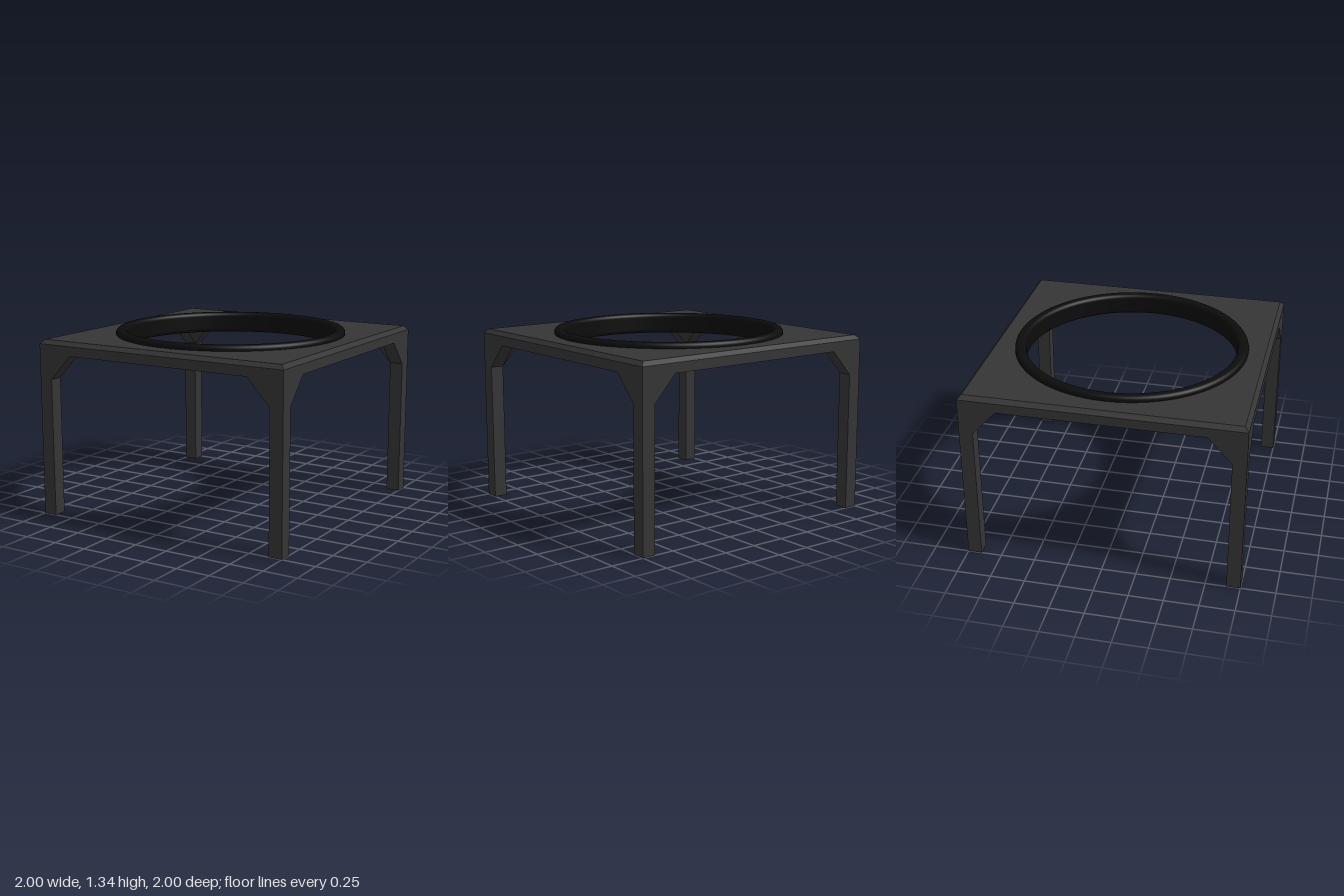
import * as THREE from 'three';
import { ConvexGeometry } from 'three/addons/geometries/ConvexGeometry.js';

const frameMat = new THREE.MeshStandardMaterial({ name: 'charcoal', color: 0x353535 });
const ringMat = new THREE.MeshStandardMaterial({ name: 'black', color: 0x0c0c0c });

const LEG = 0.1;            // leg thickness
const UNDER = 1.2, EDGE = 1.27, TOP = 1.3; // heights of the table top
const BRACE = 1.015;        // where the corner braces start
const HOLE = 0.81;

function add(parent, name, geometry, material) {
  const mesh = new THREE.Mesh(geometry, material);
  mesh.name = name;
  parent.add(mesh);
  return mesh;
}

// Four side walls of a square band, flat shaded
function squareBand(bottomHalf, topHalf, y0, y1) {
  const g = new THREE.CylinderGeometry(topHalf * Math.SQRT2, bottomHalf * Math.SQRT2, y1 - y0, 4, 1, true)
    .rotateY(Math.PI / 4).translate(0, (y0 + y1) / 2, 0).toNonIndexed();
  g.computeVertexNormals();
  return g;
}

// Horizontal square with a round hole, facing up or down
function holedSquare(half, y, up) {
  const s = new THREE.Shape();
  s.moveTo(-half, -half).lineTo(half, -half).lineTo(half, half).lineTo(-half, half).closePath();
  s.holes.push(new THREE.Path().absarc(0, 0, HOLE, 0, Math.PI * 2, true));
  return new THREE.ShapeGeometry(s, 48).rotateX(up ? -Math.PI / 2 : Math.PI / 2).translate(0, y, 0);
}

export function createModel() {
  const model = new THREE.Group();
  model.name = 'tableFrame';

  // Table top with a chamfered upper edge
  const top = new THREE.Group();
  top.name = 'tableTop';
  add(top, 'topEdge', squareBand(1, 1, UNDER, EDGE), frameMat);
  add(top, 'topChamfer', squareBand(1, 0.97, EDGE, TOP), frameMat);
  add(top, 'topSurface', holedSquare(0.97, TOP, true), frameMat);
  add(top, 'topUnderside', holedSquare(1, UNDER, false), frameMat);
  model.add(top);

  // Round collar lining the hole, with rounded rims
  const s = new THREE.Shape();
  const [r0, r1, y0, y1, c] = [0.77, 0.85, 1.183, 1.34, 0.03];
  s.moveTo(r0 + c, y0).lineTo(r1 - c, y0);
  s.absarc(r1 - c, y0 + c, c, -Math.PI / 2, 0);
  s.absarc(r1 - c, y1 - c, c, 0, Math.PI / 2);
  s.absarc(r0 + c, y1 - c, c, Math.PI / 2, Math.PI);
  s.absarc(r0 + c, y0 + c, c, Math.PI, Math.PI * 1.5);
  add(model, 'collarRing', new THREE.LatheGeometry(s.getPoints(5), 72), ringMat);

  // Legs with flared corner braces
  const inner = 1 - LEG, reach = 0.73;
  const v = (x, y, z) => new THREE.Vector3(x, y, z);
  const brace = new ConvexGeometry([
    v(inner, BRACE, inner), v(1, BRACE, inner), v(1, BRACE, 1), v(inner, BRACE, 1),
    v(1, UNDER, 1), v(reach, UNDER, 1), v(reach, UNDER, inner), v(inner, UNDER, reach), v(1, UNDER, reach),
  ]);
  const post = new THREE.BoxGeometry(LEG, BRACE, LEG).translate(1 - LEG / 2, BRACE / 2, 1 - LEG / 2);
  ['frontLeftLeg', 'backLeftLeg', 'backRightLeg', 'frontRightLeg'].forEach((name, i) => {
    const leg = new THREE.Group();
    leg.name = name;
    add(leg, 'post', post, frameMat);
    add(leg, 'cornerBrace', brace, frameMat);
    leg.rotation.y = i * Math.PI / 2;
    model.add(leg);
  });
  return model;
}
